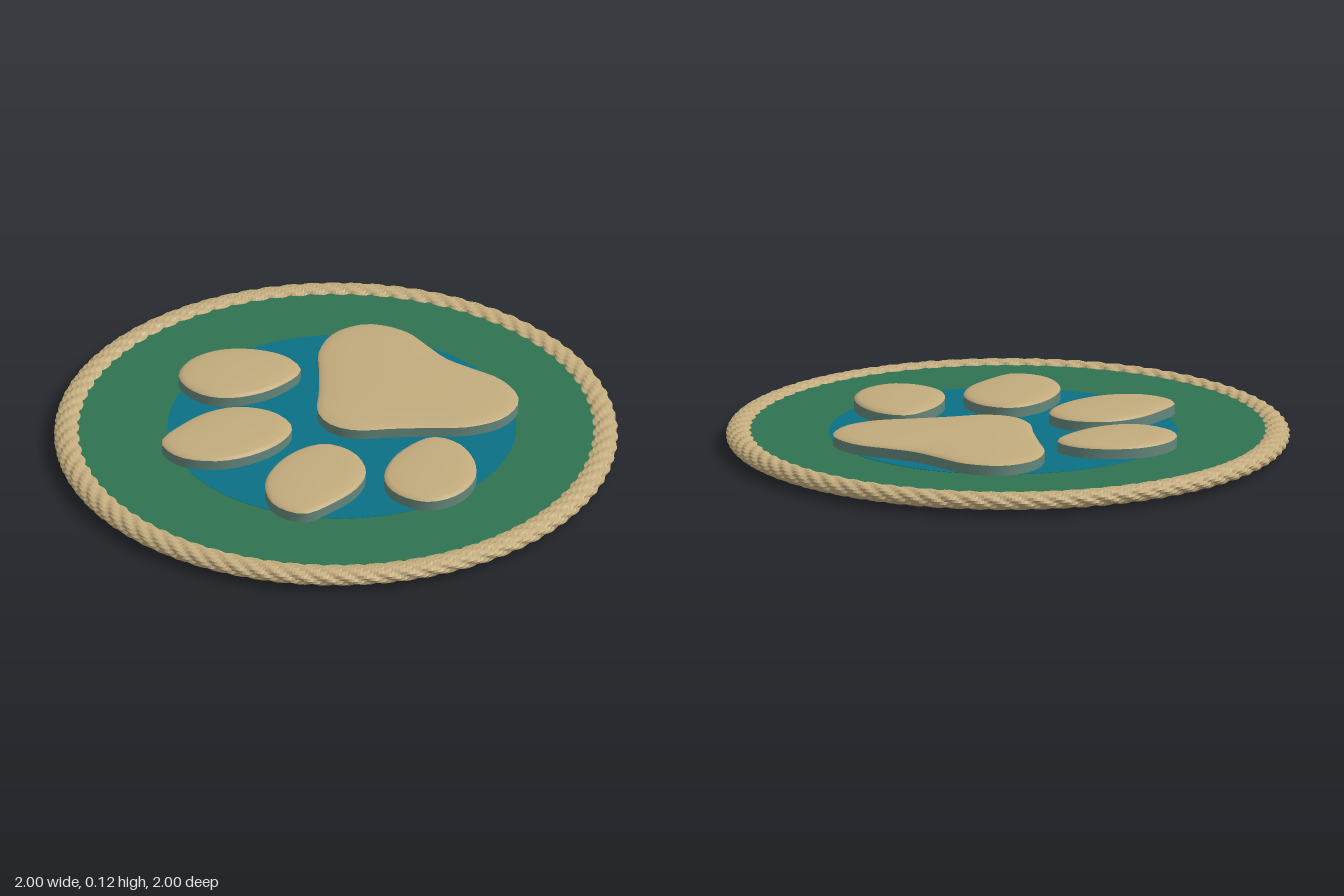
import * as THREE from 'three';

const mat = (name, color, side = THREE.FrontSide) => {
  const m = new THREE.MeshStandardMaterial({ color, side });
  m.name = name;
  return m;
};

// Closed surface strip through equal-length loops of [x, y, z], ending in a centre point if given
function loft(loops, centre) {
  const n = loops[0].length, pos = loops.flat(2), idx = [];
  for (let r = 0; r < loops.length - 1; r++) {
    for (let i = 0; i < n; i++) {
      const j = (i + 1) % n, a = r * n, b = a + n;
      idx.push(a + i, a + j, b + j, a + i, b + j, b + i);
    }
  }
  if (centre) {
    const a = (loops.length - 1) * n;
    for (let i = 0; i < n; i++) idx.push(a + i, a + (i + 1) % n, loops.length * n);
    pos.push(...centre);
  }
  const g = new THREE.BufferGeometry();
  g.setAttribute('position', new THREE.Float32BufferAttribute(pos, 3));
  g.setIndex(idx);
  g.computeVertexNormals();
  return g;
}

// Smooth closed outline in the x-z plane, always wound counter-clockwise as seen from above
function outline(points, count) {
  const curve = new THREE.CatmullRomCurve3(
    points.map(([x, z]) => new THREE.Vector3(x, 0, z)), true, 'centripetal');
  const pts = curve.getSpacedPoints(count).slice(0, count).map((p) => [p.x, p.z]);
  const area = THREE.ShapeUtils.area(pts.map(([x, z]) => new THREE.Vector2(x, -z)));
  return area < 0 ? pts.reverse() : pts;
}

export function createModel() {
  const model = new THREE.Group();
  model.name = 'pawCoaster';
  const tan = mat('tan', 0xc2ab7d);
  const green = mat('green', 0x2f7352);
  const blue = mat('blue', 0x0b7086);
  const sage = mat('sage', 0x64867a);

  const add = (name, geometry, material, parent = model) => {
    const mesh = new THREE.Mesh(geometry, material);
    mesh.name = name;
    parent.add(mesh);
    return mesh;
  };

  // Green ring with a round opening for the inlay
  const ring = new THREE.Shape().absarc(0, 0, 0.93, 0, Math.PI * 2);
  ring.holes.push(new THREE.Path().absarc(0.03, 0, 0.615, 0, Math.PI * 2, true));
  const ringGeo = new THREE.ExtrudeGeometry(ring, { depth: 0.032, bevelEnabled: false, curveSegments: 48 });
  ringGeo.rotateX(-Math.PI / 2);
  add('greenRing', ringGeo, green).position.y = 0.03;

  // Blue inlay, showing flush above and standing proud below
  add('blueInlay', new THREE.CylinderGeometry(0.618, 0.618, 0.058, 72), blue).position.set(0.03, 0.034, 0);
  const under = new THREE.CylinderGeometry(0.618, 0.25, 0.005, 72);
  add('blueUnderside', under, blue).position.set(0.03, 0.0025, 0);

  // Twisted rope rim: a torus whose lobed cross-section winds around
  const rope = new THREE.TorusGeometry(0.95, 1, 20, 560);
  const p = rope.attributes.position;
  for (let i = 0; i < p.count; i++) {
    const theta = Math.floor(i % 561) / 560 * Math.PI * 2;
    const phi = Math.floor(i / 561) / 20 * Math.PI * 2;
    const lobe = 0.8 + 0.24 * Math.abs(Math.sin((5 * phi + 80 * theta) / 2));
    const r = 0.95 + 0.048 * lobe * Math.cos(phi);
    p.setXYZ(i, r * Math.cos(theta), r * Math.sin(theta), 0.031 * lobe * Math.sin(phi));
  }
  rope.rotateX(-Math.PI / 2);
  const ropeFlat = rope.toNonIndexed();
  ropeFlat.computeVertexNormals();
  add('ropeRim', ropeFlat, tan).position.y = 0.045;

  // Raised pad: sage wall, rounded tan cap
  function pad(name, points, count, [cx, cz]) {
    const g = new THREE.Group();
    g.name = name;
    model.add(g);
    const pts = outline(points, count);
    const loop = (s, y) => pts.map(([x, z]) => [cx + (x - cx) * s, y, cz + (z - cz) * s]);
    add(name + 'Wall', loft([loop(1, 0.05), loop(1, 0.099)]), sage, g);
    add(name + 'Cap', loft([loop(1, 0.099), loop(0.975, 0.105), loop(0.9, 0.110),
      loop(0.7, 0.113), loop(0.4, 0.115)], [cx, 0.116, cz]), tan, g);
  }

  const innerToe = [[-0.4, -0.375], [-0.53, -0.35], [-0.56, -0.24], [-0.5, -0.13], [-0.4, -0.065],
    [-0.25, -0.04], [-0.14, -0.08], [-0.11, -0.19], [-0.17, -0.31], [-0.27, -0.365]];
  const outerToe = [[-0.07, -0.655], [-0.17, -0.61], [-0.205, -0.5], [-0.17, -0.4], [-0.07, -0.33],
    [0.05, -0.305], [0.16, -0.325], [0.19, -0.42], [0.145, -0.54], [0.05, -0.63]];
  for (const [side, s] of [['Back', 1], ['Front', -1]]) {
    const flip = (pts) => pts.map(([x, z]) => [x, z * s]);
    pad('innerToe' + side, flip(innerToe), 32, [-0.335, -0.21 * s]);
    pad('outerToe' + side, flip(outerToe), 32, [-0.01, -0.48 * s]);
  }

  // Large heel pad, mirrored across z
  const half = [[0.0, -0.09], [0.1, -0.18], [0.2, -0.275], [0.3, -0.37], [0.43, -0.415],
    [0.55, -0.37], [0.605, -0.24], [0.588, -0.11]];
  const heel = [[-0.03, 0], ...half, [0.572, 0], ...half.map(([x, z]) => [x, -z]).reverse()];
  pad('heelPad', heel, 56, [0.35, 0]);

  return model;
}
